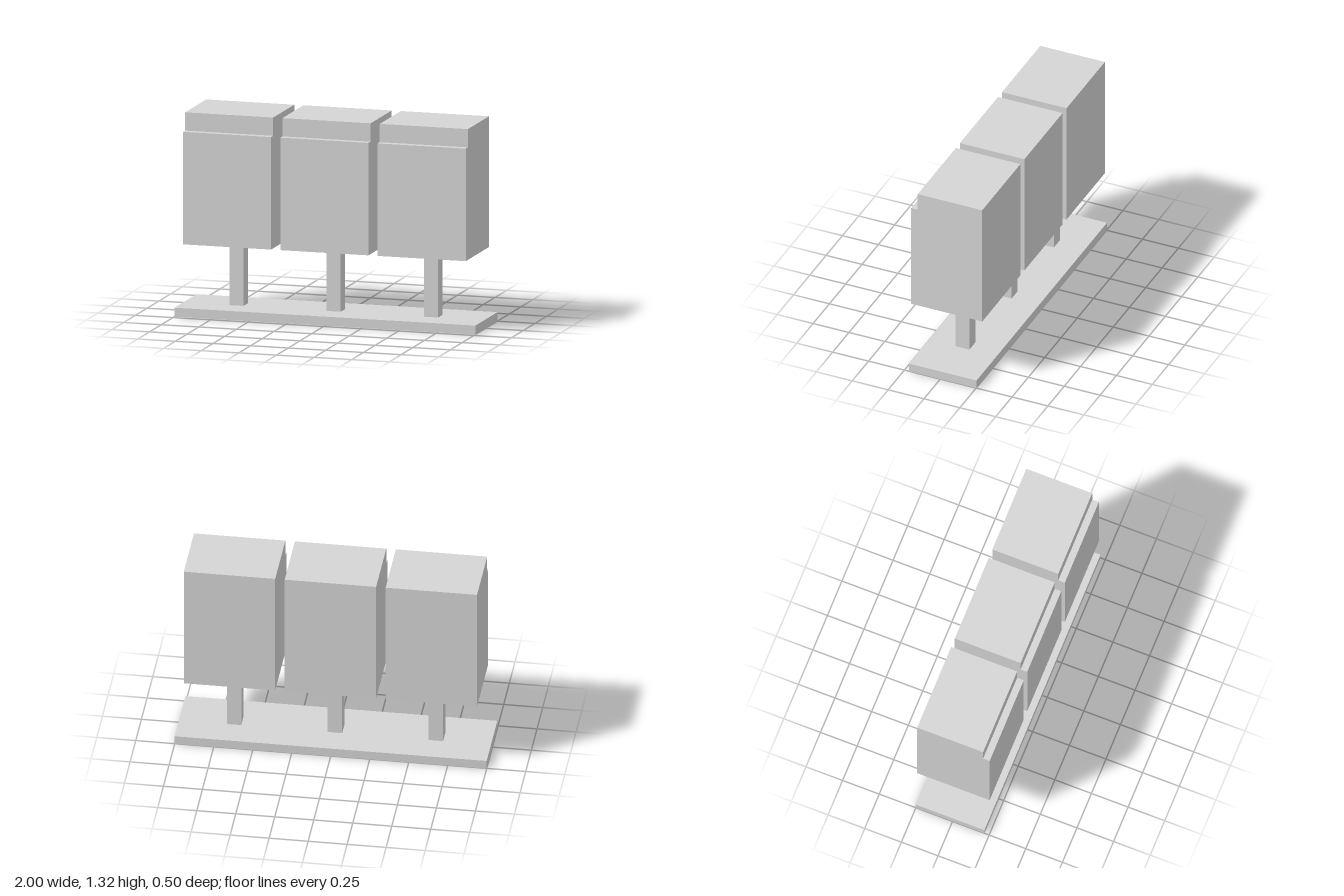
import * as THREE from 'three';

// Removes the triangles that face down (and up, if asked), leaving an open shell
function openShell(geometry, dropTop = false) {
  const source = geometry.index ? geometry.toNonIndexed() : geometry;
  const p = source.attributes.position;
  const kept = [];
  const tri = new THREE.Triangle();
  const normal = new THREE.Vector3();
  for (let i = 0; i < p.count; i += 3) {
    tri.setFromAttributeAndIndices(p, i, i + 1, i + 2);
    tri.getNormal(normal);
    if (normal.y < -0.9 || (dropTop && normal.y > 0.9)) continue;
    for (const v of [tri.a, tri.b, tri.c]) kept.push(v.x, v.y, v.z);
  }
  const shell = new THREE.BufferGeometry();
  shell.setAttribute('position', new THREE.Float32BufferAttribute(kept, 3));
  shell.computeVertexNormals();
  return shell;
}

// Box given by its height range and depth range, centred on x
function slab(width, y0, y1, z0, z1) {
  return new THREE.BoxGeometry(width, y1 - y0, z1 - z0)
    .translate(0, (y0 + y1) / 2, (z0 + z1) / 2);
}

export function createModel() {
  const grey = new THREE.MeshStandardMaterial({ color: 0xd5d5d5, side: THREE.DoubleSide });
  grey.name = 'lightGrey';

  const model = new THREE.Group();
  model.name = 'boxRow';
  const add = (parent, name, geometry) => {
    const mesh = new THREE.Mesh(geometry, grey);
    mesh.name = name;
    parent.add(mesh);
  };

  // Long base plate, hollow underneath
  add(model, 'basePlate', openShell(slab(2, 0, 0.058, -0.253, 0.218)));

  // Side profile of a box: shape x is -z, with a ledge at the upper front
  const profile = new THREE.Shape([
    [-0.23, 0.473], [0.265, 0.473], [0.265, 1.318], [-0.185, 1.318], [-0.185, 1.2], [-0.23, 1.2],
  ].map(([x, y]) => new THREE.Vector2(x, y)));
  const boxWidth = 0.586;
  const boxGeometry = openShell(
    new THREE.ExtrudeGeometry(profile, { depth: boxWidth, bevelEnabled: false })
      .translate(0, 0, -boxWidth / 2)
      .rotateY(Math.PI / 2));
  const postGeometry = openShell(slab(0.093, 0.058, 0.473, -0.064, 0.032), true);

  // Three boxes, each on its own post
  ['right', 'middle', 'left'].forEach((side, i) => {
    const unit = new THREE.Group();
    unit.name = side + 'Unit';
    unit.position.x = (i - 1) * 0.647;
    add(unit, side + 'Post', postGeometry);
    add(unit, side + 'Box', boxGeometry);
    model.add(unit);
  });

  return model;
}
